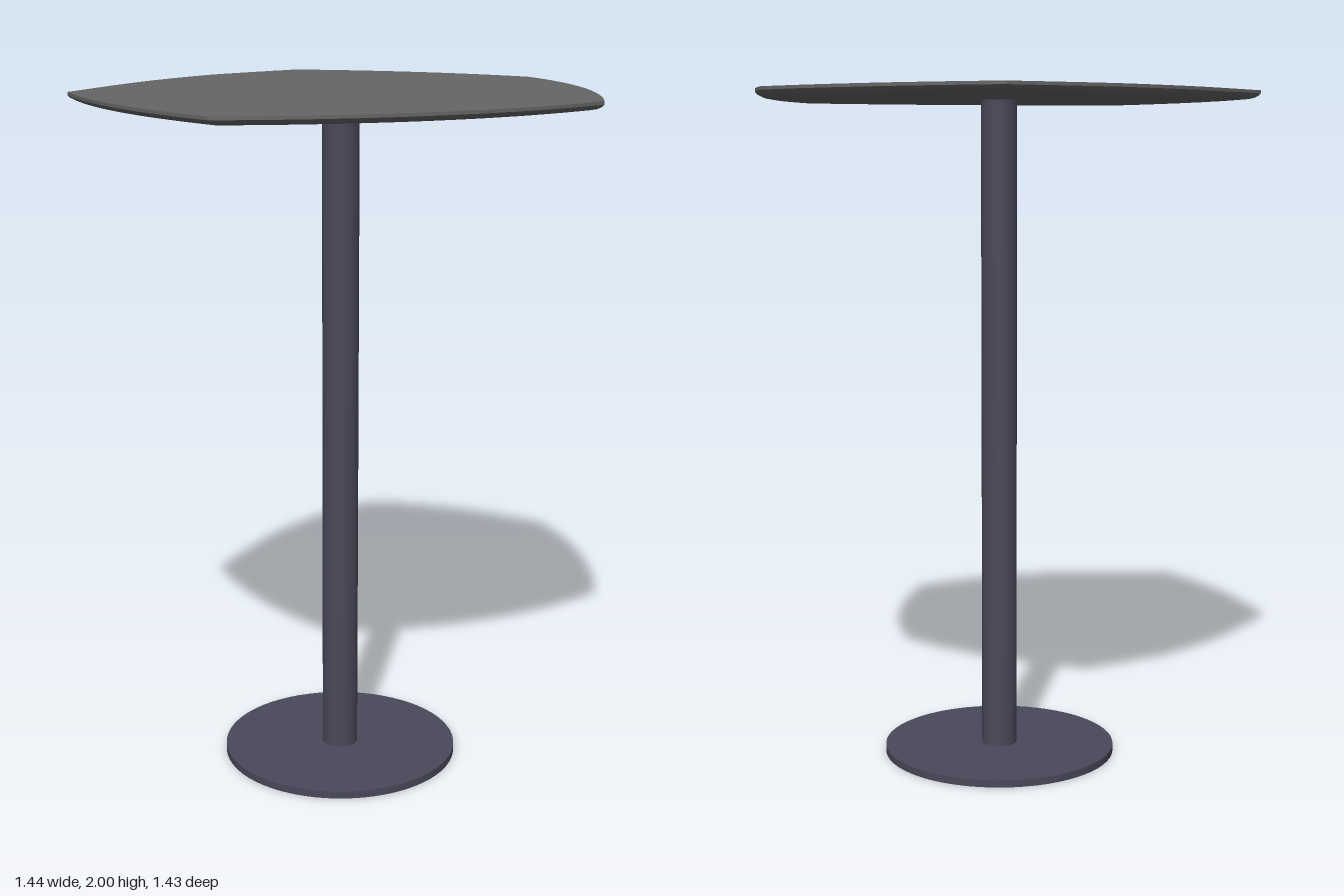
import * as THREE from 'three';
import { toCreasedNormals } from 'three/addons/utils/BufferGeometryUtils.js';

const CENTRE_Z = 0.06; // axis of column and base

// Five-cornered outline with bowed edges, as (x, z) points
function topOutline() {
  const v = (x, z) => new THREE.Vector2(x, z);
  const back = v(0.16, -0.72), left = v(0.716, -0.18), frontLeft = v(0.52, 0.615);
  const frontRight = v(-0.565, 0.61), right = v(-0.72, -0.18);
  const edges = [
    new THREE.QuadraticBezierCurve(back, v(0.515, -0.515), left),
    new THREE.QuadraticBezierCurve(left, v(0.74, 0.22), frontLeft),
    new THREE.QuadraticBezierCurve(frontLeft, v(0, 0.81), frontRight),
    new THREE.QuadraticBezierCurve(frontRight, v(-0.745, 0.22), right),
    new THREE.SplineCurve([right, v(-0.44, -0.435), v(-0.19, -0.6), v(0, -0.672), back]),
  ];
  return edges.flatMap((edge) => edge.getPoints(20).slice(0, -1));
}

// Slab made of scaled outline rings, with a rounded lower edge
function tabletopGeometry() {
  const outline = topOutline();
  const n = outline.length;
  const rings = [[2, 0], [2, 1], [1.991, 1], [1.984, 0.99], [1.978, 0.973], [1.975, 0.95], [1.975, 0]];
  const positions = [];
  const indices = [];
  for (const [y, s] of rings) {
    for (const p of outline) positions.push(p.x * s, y, p.y * s);
  }
  for (let r = 0; r < rings.length - 1; r++) {
    for (let i = 0; i < n; i++) {
      const j = (i + 1) % n;
      const a = r * n + i, b = r * n + j, c = a + n, d = b + n;
      if (rings[r][1] > 0) indices.push(a, b, d);
      if (rings[r + 1][1] > 0) indices.push(a, d, c);
      else indices.pop(), indices.pop(), indices.pop(), indices.push(a, b, d);
    }
  }
  const geometry = new THREE.BufferGeometry();
  geometry.setAttribute('position', new THREE.Float32BufferAttribute(positions, 3));
  geometry.setIndex(indices);
  return toCreasedNormals(geometry, 0.6);
}

export function createModel() {
  const group = new THREE.Group();
  const topMaterial = new THREE.MeshStandardMaterial({ color: 0x666666 });
  const legMaterial = new THREE.MeshStandardMaterial({ color: 0x4a485a });

  const add = (name, geometry, material, y, z) => {
    const mesh = new THREE.Mesh(geometry, material);
    mesh.name = name;
    mesh.position.set(0, y, z);
    group.add(mesh);
  };

  add('tabletop', tabletopGeometry(), topMaterial, 0, 0);
  add('column', new THREE.CylinderGeometry(0.053, 0.053, 1.957, 48), legMaterial, 0.9985, CENTRE_Z);
  add('base', new THREE.CylinderGeometry(0.35, 0.35, 0.022, 64), legMaterial, 0.011, CENTRE_Z);
  return group;
}
